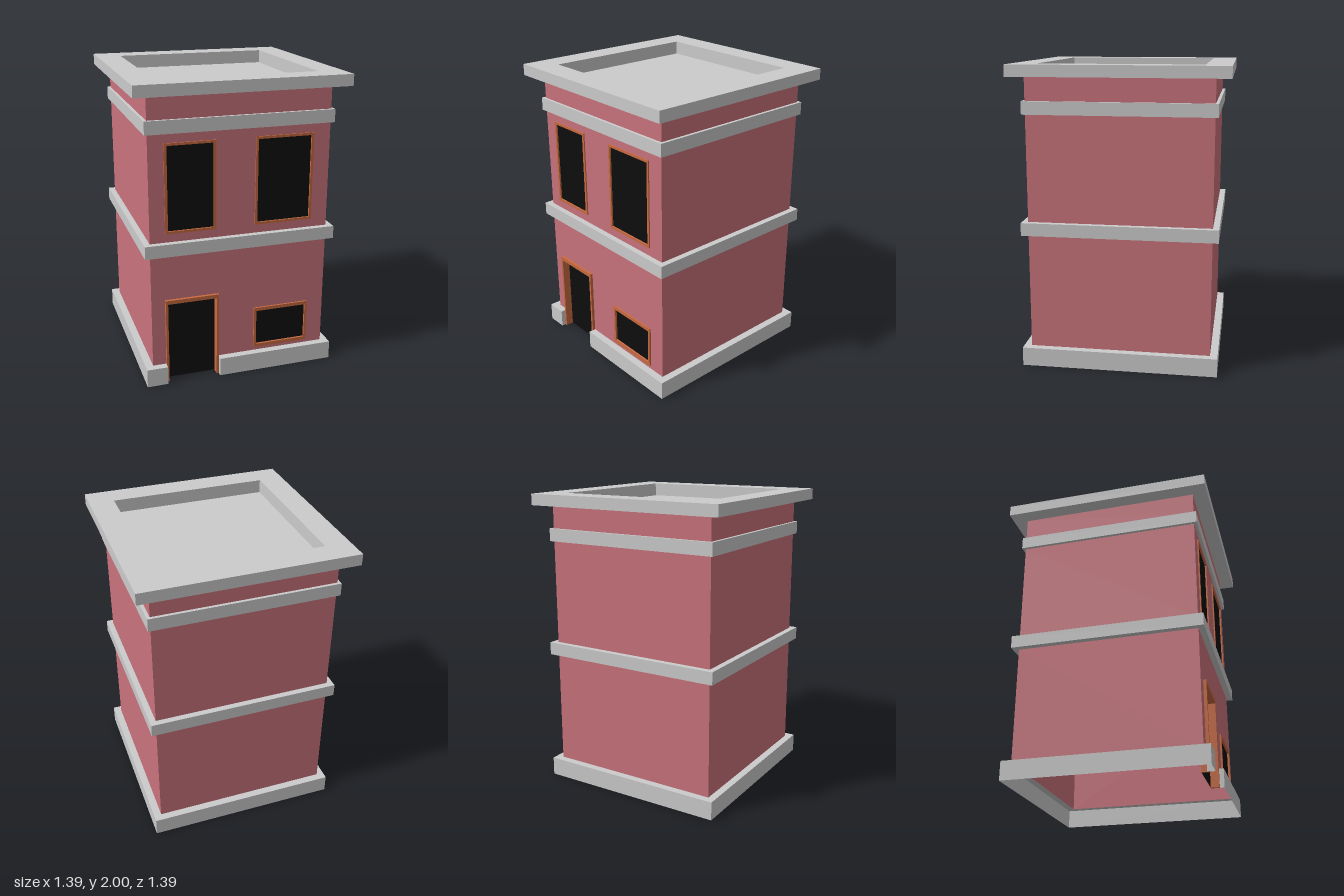
import * as THREE from 'three';

const mat = (color) => new THREE.MeshStandardMaterial({ color, side: THREE.DoubleSide, flatShading: true });

const HALF = 0.6;            // half width of the brick body
const PLINTH = { r: 0.65, top: 0.125 };

// Openings: outer frame rectangle, border width, top border, and z of frame back and front
const door = { name: 'door', x0: -0.51, x1: -0.15, y0: 0, y1: 0.588, bx: 0.016, by: 0.026, back: 0.565, front: 0.62 };
const lowWindow = { name: 'lowerWindow', x0: 0.1, x1: 0.483, y0: 0.152, y1: 0.445, bx: 0.016, by: 0.023, back: 0.598, front: 0.612 };
const upWindows = [
  { name: 'upperWindowRight', x0: -0.5, x1: -0.165, y0: 1.042, y1: 1.625, bx: 0.018, by: 0.016, back: 0.597, front: 0.608 },
  { name: 'upperWindowLeft', x0: 0.095, x1: 0.487, y0: 1.042, y1: 1.625, bx: 0.016, by: 0.016, back: 0.597, front: 0.608 },
];

const polygon = (pts, Type = THREE.Shape) => new Type(pts.map(([x, y]) => new THREE.Vector2(x, y)));
const rect = (x0, y0, x1, y1) => [[x0, y0], [x1, y0], [x1, y1], [x0, y1]];

// Square shell swept around y from [half width, height] points; optionally without its front side
function squareShell(profile, openFront = false) {
  const pts = profile.map(([r, y]) => new THREE.Vector2(r * Math.SQRT2, y));
  const sides = openFront ? 3 : 4;
  const geo = new THREE.LatheGeometry(pts, sides, Math.PI / 4, sides * Math.PI / 2).toNonIndexed();
  geo.computeVertexNormals();
  return geo;
}

// Flat faces from lists of four corners, counter-clockwise from outside
function quads(list) {
  const pos = list.flatMap(([a, b, c, d]) => [a, b, c, a, c, d]).flat();
  const geo = new THREE.BufferGeometry();
  geo.setAttribute('position', new THREE.Float32BufferAttribute(pos, 3));
  geo.computeVertexNormals();
  return geo;
}

export function createModel() {
  const model = new THREE.Group();
  model.name = 'building';
  const brick = mat(0xc9737c), stone = mat(0xcccccc), wood = mat(0xc86a41), dark = mat(0x0d0d0d);

  const add = (name, geo, material, parent = model) => {
    const mesh = new THREE.Mesh(geo, material);
    mesh.name = name;
    parent.add(mesh);
    return mesh;
  };

  // Walls of each storey: three plain sides plus a pierced front
  const storey = (name, y0, y1, outline, windows) => {
    add(name + 'SideWalls', squareShell([[HALF, y0], [HALF, y1]], true), brick);
    const shape = polygon(outline);
    for (const w of windows) shape.holes.push(polygon(rect(w.x0, w.y0, w.x1, w.y1), THREE.Path));
    add(name + 'FrontWall', new THREE.ShapeGeometry(shape), brick).position.z = HALF;
  };
  const midBottom = 0.9, midTop = 0.985, highBottom = 1.685, highTop = 1.77, eaves = 1.925;
  storey('lower', PLINTH.top, midBottom, [
    [-HALF, PLINTH.top], [door.x0, PLINTH.top], [door.x0, door.y1], [door.x1, door.y1],
    [door.x1, PLINTH.top], [HALF, PLINTH.top], [HALF, midBottom], [-HALF, midBottom],
  ], [lowWindow]);
  storey('upper', midTop, highBottom, rect(-HALF, midTop, HALF, highBottom), upWindows);
  add('parapetWall', squareShell([[HALF, highTop], [HALF, eaves]]), brick);

  // Projecting stone bands
  const band = (name, r, y0, y1) =>
    add(name, squareShell([[HALF, y0], [r, y0], [r, y1], [HALF, y1]]), stone);
  band('middleBand', 0.64, midBottom, midTop);
  band('upperBand', 0.62, highBottom, highTop);

  // Cornice with the sunken flat roof
  add('corniceAndRoof', squareShell([[HALF, eaves], [0.697, eaves], [0.697, 2], [0.53, 2], [0.53, 1.91], [0, 1.91]]), stone);

  // Plinth, open underneath and interrupted by the doorway
  const { r, top } = PLINTH;
  add('plinth', squareShell([[r, 0], [r, top], [HALF, top]], true), stone);
  const frontPiece = (xOuter, xDoor, wallX) => [
    [[xOuter, 0, r], [xDoor, 0, r], [xDoor, top, r], [xOuter, top, r]],
    [[xOuter, top, r], [xDoor, top, r], [xDoor, top, HALF], [wallX, top, HALF]],
    [[xDoor, 0, r], [xDoor, 0, HALF], [xDoor, top, HALF], [xDoor, top, r]],
  ];
  const rightPiece = frontPiece(-r, door.x0, -HALF);
  const leftPiece = frontPiece(r, door.x1, HALF).map((q) => q.reverse());
  add('plinthFront', quads([...rightPiece, ...leftPiece]), stone);

  // Frames and dark panes; the door frame has no sill
  for (const o of [door, lowWindow, ...upWindows]) {
    const group = new THREE.Group();
    group.name = o.name;
    model.add(group);
    const ix0 = o.x0 + o.bx, ix1 = o.x1 - o.bx, iy1 = o.y1 - o.by;
    const iy0 = o === door ? 0 : o.y0 + o.by;
    let shape;
    if (o === door) {
      shape = polygon([[o.x0, 0], [ix0, 0], [ix0, iy1], [ix1, iy1], [ix1, 0], [o.x1, 0], [o.x1, o.y1], [o.x0, o.y1]]);
    } else {
      shape = polygon(rect(o.x0, o.y0, o.x1, o.y1));
      shape.holes.push(polygon(rect(ix0, iy0, ix1, iy1), THREE.Path));
    }
    const frame = new THREE.ExtrudeGeometry(shape, { depth: o.front - o.back, bevelEnabled: false });
    add(o.name + 'Frame', frame, wood, group).position.z = o.back;
    const pane = new THREE.PlaneGeometry(ix1 - ix0, iy1 - iy0);
    add(o.name + 'Pane', pane, dark, group).position.set((ix0 + ix1) / 2, (iy0 + iy1) / 2, o.back);
  }

  return model;
}
